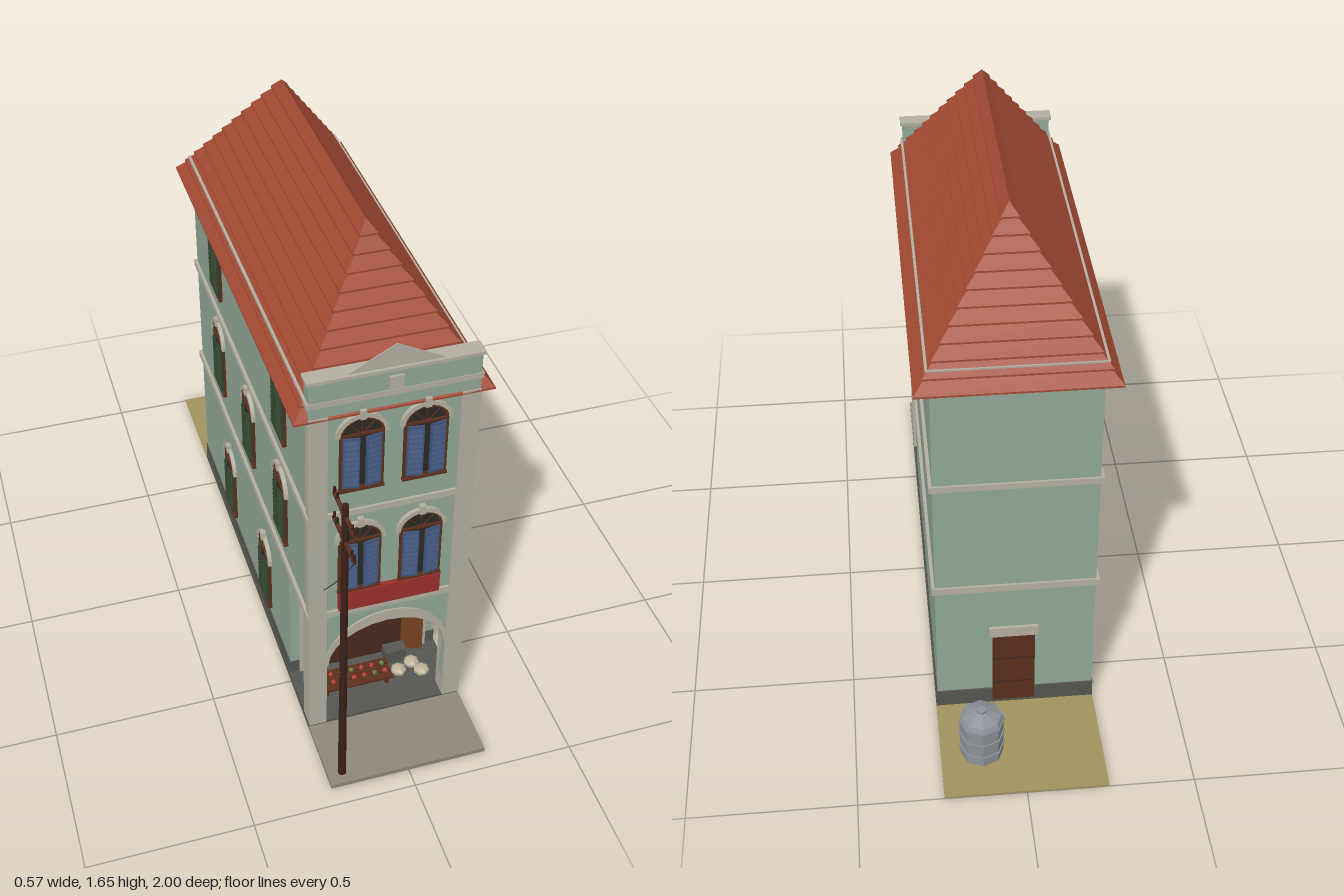
import * as THREE from 'three';

const mat = (color, o = {}) => new THREE.MeshStandardMaterial({ color, flatShading: true, ...o });
const M = {
  wall: mat(0x92a896), trim: mat(0xb4afa2), roof: mat(0xa24a33), plinth: mat(0x565652),
  wood: mat(0x5c2f1c), dark: mat(0x4a291d), leaf: mat(0x74401f), glass: mat(0x2b2926),
  blue: mat(0x43587f), green: mat(0x33462f), red: mat(0x9a2f2c), pole: mat(0x3a2019),
  paving: mat(0x8f877b), earth: mat(0xa2925f), tank: mat(0x8d9299), sack: mat(0xbdb29a),
  veg: mat(0x5f7a35), tomato: mat(0xb03a2a),
};

function add(parent, name, geo, material, x = 0, y = 0, z = 0) {
  const m = new THREE.Mesh(geo, material);
  m.name = name;
  m.position.set(x, y, z);
  parent.add(m);
  return m;
}

// Box given by its limits
const block = (p, name, material, x0, x1, y0, y1, z0, z1) =>
  add(p, name, new THREE.BoxGeometry(x1 - x0, y1 - y0, z1 - z0), material,
    (x0 + x1) / 2, (y0 + y1) / 2, (z0 + z1) / 2);

const extrude = (shape, depth, curveSegments = 6) =>
  new THREE.ExtrudeGeometry(shape, { depth, bevelEnabled: false, curveSegments });

// Rectangle with a half-ellipse on top
function archPath(path, w, y0, spring, rise) {
  path.moveTo(-w, y0);
  path.lineTo(w, y0);
  path.lineTo(w, spring);
  path.absellipse(0, spring, w, rise, 0, Math.PI, false);
  path.lineTo(-w, y0);
  return path;
}

// Half-ring over an opening
function archRing(wo, ro, wi, ri) {
  const s = new THREE.Shape();
  s.moveTo(wo, 0);
  s.absellipse(0, 0, wo, ro, 0, Math.PI, false);
  s.lineTo(-wi, 0);
  s.absellipse(0, 0, wi, ri, Math.PI, 0, true);
  return s;
}

// Arched window with louvred shutters, facing +z, origin at the sill
function makeWindow(name, shutterMat) {
  const g = new THREE.Group();
  g.name = name;
  const h = 0.19;
  add(g, 'windowPane', extrude(archPath(new THREE.Shape(), 0.06, 0, h, 0.055), 0.003), M.glass);
  const frame = archPath(new THREE.Shape(), 0.064, 0, h, 0.06);
  frame.holes.push(archPath(new THREE.Path(), 0.056, 0.006, h, 0.05));
  add(g, 'windowFrame', extrude(frame, 0.007), M.wood);
  block(g, 'transom', M.wood, -0.06, 0.06, h - 0.004, h + 0.004, 0, 0.009);
  for (const a of [0.8, Math.PI / 2, Math.PI - 0.8]) {
    const bar = add(g, 'fanBar', new THREE.BoxGeometry(0.05, 0.003, 0.003), M.wood,
      Math.cos(a) * 0.027, h + Math.sin(a) * 0.026, 0.004);
    bar.rotation.z = a;
  }
  block(g, 'sill', M.wood, -0.066, 0.066, -0.008, 0, 0, 0.012);
  add(g, 'hood', extrude(archRing(0.076, 0.072, 0.064, 0.058), 0.012), M.trim, 0, h, 0);
  block(g, 'keystone', M.trim, -0.009, 0.009, h + 0.055, h + 0.085, 0, 0.016);
  for (const s of [-1, 1]) {
    const shutter = new THREE.Group();
    shutter.name = 'shutter';
    shutter.position.set(s * 0.056, 0, 0.006);
    shutter.rotation.y = s * 0.15;
    block(shutter, 'shutterPanel', shutterMat, Math.min(0, -s * 0.048), Math.max(0, -s * 0.048), 0.008, h - 0.006, 0, 0.004);
    for (let i = 0; i < 9; i++) {
      const slat = add(shutter, 'slat', new THREE.BoxGeometry(0.038, 0.012, 0.002), shutterMat, -s * 0.024, 0.025 + i * 0.018, 0.005);
      slat.rotation.x = -0.35;
    }
    g.add(shutter);
  }
  return g;
}

// Hipped roof in overlapping tile courses
function roofGeometry() {
  const rows = 11, loops = [], pos = [];
  const loop = (t, y, grow) => {
    const x = Math.max(0.285 * (1 - t) + grow, 0), f = 0.71 - 0.28 * t + grow, b = -0.685 + 0.285 * t - grow;
    return [[x, y, f], [x, y, b], [-x, y, b], [-x, y, f]];
  };
  loops.push([[0, 1.23, 0.4], [0, 1.23, -0.4], [0, 1.23, -0.4], [0, 1.23, 0.4]]);
  for (let i = 0; i < rows; i++) {
    const t0 = i / rows, t1 = (i + 1) / rows, y0 = 1.23 + 0.425 * t0, y1 = 1.23 + 0.425 * t1;
    loops.push(loop(t0, y0, 0), loop(t0, y0 + 0.006, 0), loop(t1, y1, -0.004));
  }
  for (let i = 0; i + 1 < loops.length; i++)
    for (let k = 0; k < 4; k++) {
      const n = (k + 1) % 4, a = loops[i][k], b = loops[i][n], c = loops[i + 1][n], d = loops[i + 1][k];
      pos.push(...a, ...b, ...c, ...a, ...c, ...d);
    }
  const g = new THREE.BufferGeometry();
  g.setAttribute('position', new THREE.Float32BufferAttribute(pos, 3));
  g.computeVertexNormals();
  return g;
}

const tube = (points, r, seg = 12, sides = 5) =>
  new THREE.TubeGeometry(new THREE.CatmullRomCurve3(points.map(p => new THREE.Vector3(...p))), seg, r, sides);

export function createModel() {
  const root = new THREE.Group();
  root.name = 'shophouse';

  // Ground and walls
  block(root, 'ground', M.earth, -0.245, 0.245, 0, 0.006, -1, 0.5);
  block(root, 'pavement', M.paving, -0.245, 0.245, 0, 0.015, 0.5, 0.94);
  block(root, 'floorSlab', M.plinth, -0.245, 0.245, 0.006, 0.024, -0.64, 0.705);
  block(root, 'plinth', M.plinth, -0.243, 0.243, 0.024, 0.07, -0.645, 0.483);
  block(root, 'groundFloor', M.wall, -0.24, 0.24, 0.07, 0.48, -0.64, 0.48);
  block(root, 'upperFloors', M.wall, -0.24, 0.24, 0.48, 1.25, -0.64, 0.7);
  for (const [y0, y1] of [[0.48, 0.503], [0.87, 0.89], [1.275, 1.293]])
    block(root, 'stringCourse', M.trim, -0.25, 0.25, y0, y1, -0.647, 0.708);

  // Front arcade
  const front = archPath(new THREE.Shape(), 0, 0, 0, 0);
  front.curves.length = 0;
  front.setFromPoints([[-0.24, 0.024], [-0.19, 0.024], [-0.19, 0.27]].map(p => new THREE.Vector2(...p)));
  front.absellipse(0, 0.27, 0.19, 0.18, Math.PI, 0, true);
  front.lineTo(0.19, 0.024);
  front.lineTo(0.24, 0.024);
  front.lineTo(0.24, 0.48);
  front.lineTo(-0.24, 0.48);
  add(root, 'arcadeWall', extrude(front, 0.05), M.wall, 0, 0, 0.65);
  add(root, 'archTrim', extrude(archRing(0.195, 0.185, 0.184, 0.145), 0.045), M.trim, 0, 0.27, 0.66);
  for (const s of [-1, 1]) {
    const x0 = s > 0 ? 0.19 : -0.245;
    block(root, 'pier', M.trim, x0, x0 + 0.055, 0.024, 0.48, 0.648, 0.71);
    block(root, 'pilaster', M.trim, x0, x0 + 0.055, 0.48, 1.24, 0.68, 0.71);
  }

  // Shop entrance with open leaves
  block(root, 'shopFront', M.dark, -0.2, 0.2, 0.024, 0.41, 0.47, 0.485);
  block(root, 'shopLintel', M.trim, -0.21, 0.21, 0.41, 0.43, 0.47, 0.49);
  for (const s of [-1, 1]) {
    block(root, 'shopJamb', M.trim, s * 0.205 - 0.006, s * 0.205 + 0.006, 0.024, 0.41, 0.47, 0.49);
    const leaf = add(root, 'shopLeaf', new THREE.BoxGeometry(0.07, 0.37, 0.008), M.leaf, s * 0.16, 0.215, 0.5);
    leaf.rotation.y = -s * 0.3;
  }
  block(root, 'shopLamp', M.pole, -0.015, 0.015, 0.42, 0.465, 0.48, 0.497);

  // Stall goods
  for (let i = 0; i < 3; i++)
    block(root, 'stallBoard', M.wood, -0.18, 0.06, 0.045, 0.052, 0.535 + i * 0.03, 0.558 + i * 0.03);
  for (const x of [-0.16, 0.04])
    block(root, 'stallLeg', M.wood, x - 0.006, x + 0.006, 0.024, 0.045, 0.54, 0.615);
  for (let i = 0; i < 14; i++)
    add(root, 'produce', new THREE.IcosahedronGeometry(0.009, 0), i % 3 ? M.tomato : M.veg,
      -0.165 + (i % 7) * 0.034, 0.06, 0.56 + Math.floor(i / 7) * 0.032);
  block(root, 'crate', M.plinth, 0.06, 0.13, 0.024, 0.075, 0.5, 0.54);
  for (const [x, z] of [[0.09, 0.58], [0.14, 0.56], [0.16, 0.6]])
    add(root, 'sack', new THREE.SphereGeometry(0.026, 7, 5), M.sack, x, 0.034, z).scale.y = 0.6;

  // Windows: front, then the side wall facing -x
  for (const y of [0.58, 0.97])
    for (const x of [-0.092, 0.092]) {
      const w = makeWindow('frontWindow', M.blue);
      w.position.set(x, y, 0.7);
      root.add(w);
    }
  for (const [z, y] of [[-0.34, 0.97], [0.41, 0.97], [-0.34, 0.58], [0.04, 0.58], [0.41, 0.58], [-0.25, 0.11], [0.2, 0.11]]) {
    const w = makeWindow('sideWindow', M.green);
    w.position.set(-0.24, y, z);
    w.rotation.y = -Math.PI / 2;
    root.add(w);
  }
  block(root, 'signBoard', M.red, -0.155, 0.155, 0.505, 0.575, 0.7, 0.716);

  // Back door
  block(root, 'backDoor', M.wood, -0.06, 0.07, 0.024, 0.29, -0.648, -0.63);
  block(root, 'backDoorLintel', M.trim, -0.07, 0.08, 0.295, 0.33, -0.65, -0.63);
  for (const y of [0.1, 0.2])
    block(root, 'doorRail', M.dark, -0.06, 0.07, y, y + 0.008, -0.651, -0.64);

  // Roof, parapet and pediment
  add(root, 'roof', roofGeometry(), M.roof);
  block(root, 'parapet', M.wall, -0.243, 0.243, 1.235, 1.358, 0.665, 0.706);
  block(root, 'parapetCap', M.trim, -0.25, 0.25, 1.356, 1.366, 0.66, 0.712);
  block(root, 'parapetKeystone', M.trim, -0.02, 0.02, 1.3, 1.34, 0.7, 0.713);
  const ped = new THREE.Shape([[-0.14, 0], [0.14, 0], [0, 0.075]].map(p => new THREE.Vector2(...p)));
  add(root, 'pediment', extrude(ped, 0.003), M.trim, 0, 1.364, 0.7);

  // Utility pole
  add(root, 'utilityPole', new THREE.CylinderGeometry(0.01, 0.013, 1.09, 8), M.pole, -0.2, 0.555, 0.9);
  for (const y of [0.97, 1.06]) {
    block(root, 'crossArm', M.wood, -0.205, -0.195, y - 0.005, y + 0.005, 0.8, 0.985);
    for (const z of [0.805, 0.83, 0.96, 0.98])
      add(root, 'insulator', new THREE.CylinderGeometry(0.004, 0.005, 0.02, 6), M.pole, -0.2, y + 0.012, z);
    for (const s of [-1, 1])
      add(root, 'armStrut', tube([[-0.2, y - 0.06, 0.9], [-0.2, y, 0.9 + s * 0.06]], 0.002, 1), M.pole);
  }
  add(root, 'serviceWire', tube([[-0.2, 0.98, 0.995], [-0.2, 0.74, 0.82], [-0.2, 0.59, 0.7]], 0.0012, 12, 4), M.pole);

  // Water tank
  const lathe = [[0, 0], [0.066, 0], [0.066, 0.14], [0.06, 0.152], [0.015, 0.168], [0.015, 0.176], [0, 0.176]];
  add(root, 'waterTank', new THREE.LatheGeometry(lathe.map(p => new THREE.Vector2(...p)), 8), M.tank, 0.12, 0.006, -0.83);
  for (const y of [0.04, 0.09, 0.14])
    add(root, 'tankBand', new THREE.CylinderGeometry(0.07, 0.07, 0.008, 8), M.tank, 0.12, y, -0.83);

  return root;
}
